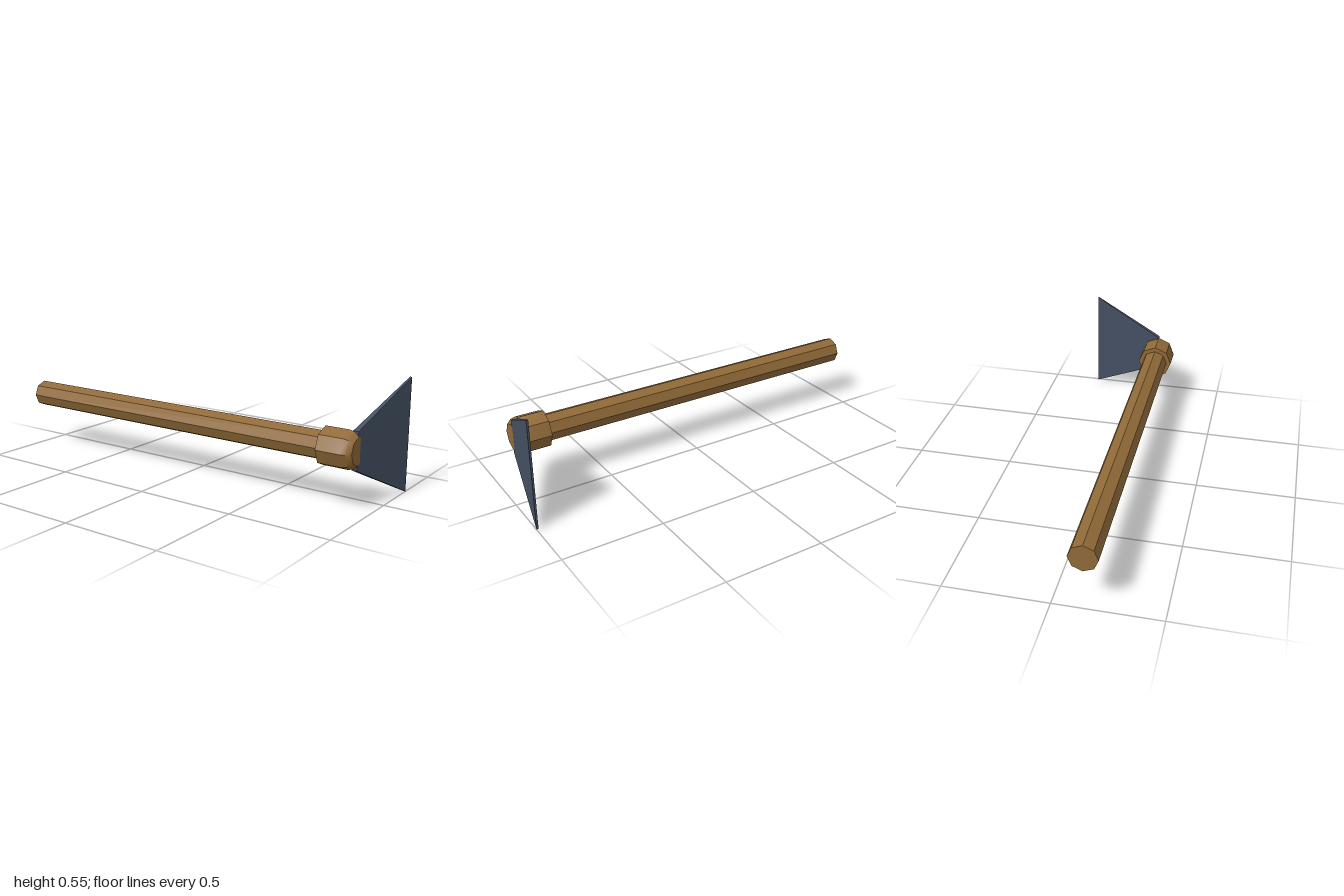
import * as THREE from 'three';
import { toCreasedNormals } from 'three/addons/utils/BufferGeometryUtils.js';

const AXIS_X = -0.145, AXIS_Y = 0.276; // centre line of the shaft
const SIDES = 8;

export function createModel() {
  const model = new THREE.Group();
  const wood = new THREE.MeshStandardMaterial({ color: 0x916a38 });
  const steel = new THREE.MeshStandardMaterial({ color: 0x434f62 });

  const add = (name, geometry, material) => {
    const mesh = new THREE.Mesh(geometry, material);
    mesh.name = name;
    model.add(mesh);
    return mesh;
  };

  // Octagonal turned part running along z, from (radius, z) profile points
  const turned = (profile) => {
    const points = profile.map(([r, z]) => new THREE.Vector2(r, z));
    const geometry = new THREE.LatheGeometry(points, SIDES).rotateX(Math.PI / 2);
    return toCreasedNormals(geometry, 0.7);
  };

  // Long handle with a flat butt
  add('handle', turned([[0, -1], [0.068, -1], [0.068, 0.8], [0, 0.8]]), wood)
    .position.set(AXIS_X, AXIS_Y, 0);

  // Thicker collar with a rounded nose
  add('collar', turned([
    [0, 0.77], [0.092, 0.77], [0.092, 0.888], [0.085, 0.914], [0.066, 0.935], [0, 0.935],
  ]), wood).position.set(AXIS_X, AXIS_Y, 0);

  // Blade: a box flared towards the cutting edge, thinned and swept forward
  const blade = new THREE.BoxGeometry(2, 2, 2);
  const pos = blade.attributes.position;
  for (let i = 0; i < pos.count; i++) {
    const outer = pos.getX(i) > 0, front = pos.getZ(i) > 0;
    const halfHeight = outer ? 0.275 : 0.09;
    const z = outer ? (front ? 1 : 0.99) : (front ? 0.932 : 0.905);
    pos.setXYZ(i, outer ? 0.236 : AXIS_X, 0.275 + pos.getY(i) * halfHeight, z);
  }
  blade.computeVertexNormals();
  add('blade', blade, steel);

  return model;
}
